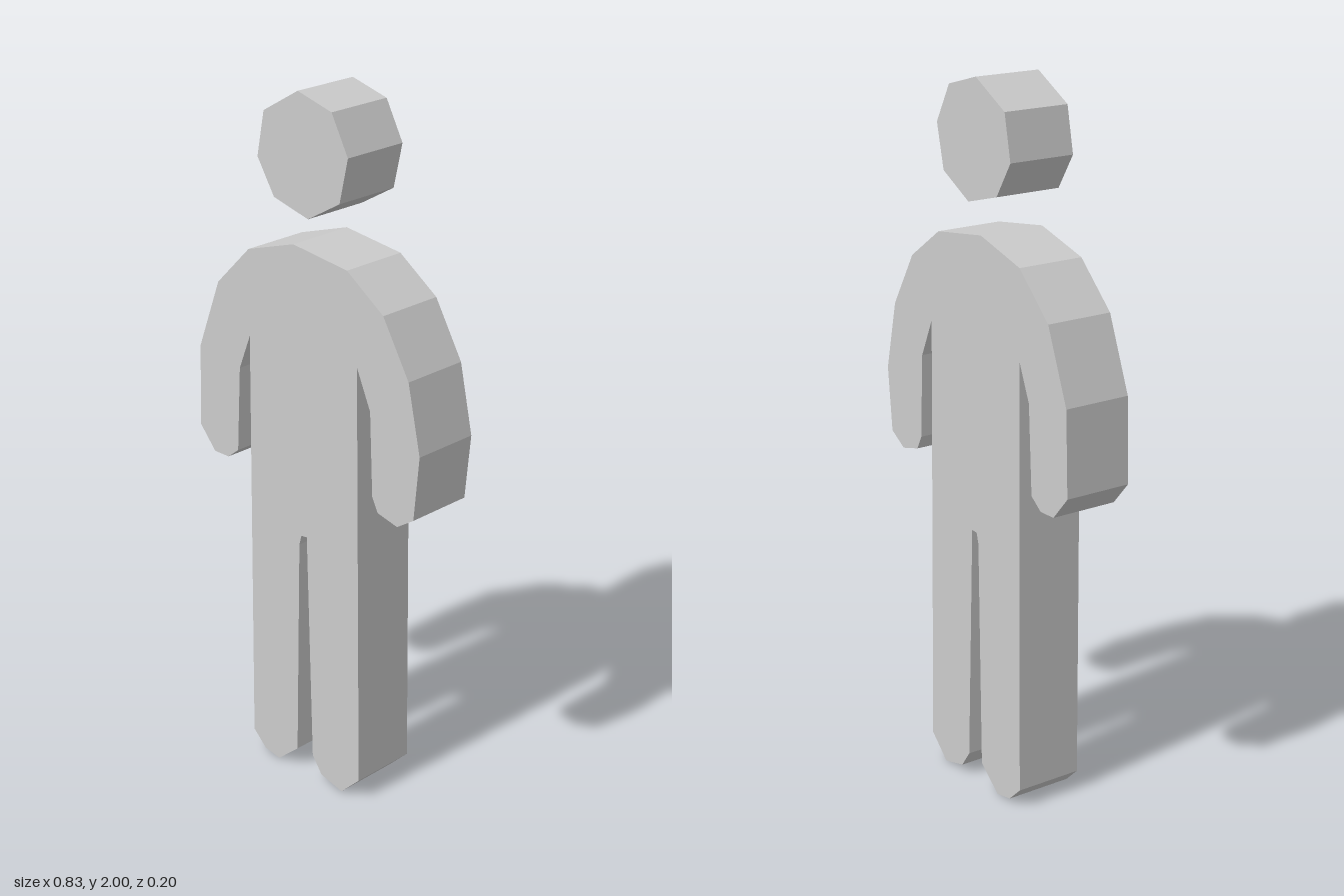
import * as THREE from 'three';

const DEPTH = 0.2;

// Flat outline in x,y pushed out evenly to both sides of z = 0
function slab(name, outline, material) {
  const shape = new THREE.Shape(outline.map(([x, y]) => new THREE.Vector2(x, y)));
  const geometry = new THREE.ExtrudeGeometry(shape, { depth: DEPTH, bevelEnabled: false });
  geometry.translate(0, 0, -DEPTH / 2);
  const mesh = new THREE.Mesh(geometry, material);
  mesh.name = name;
  return mesh;
}

export function createModel() {
  const material = new THREE.MeshStandardMaterial({ color: 0xcccccc, flatShading: true });
  const group = new THREE.Group();
  group.name = 'standingFigure';

  // Eight-sided head, slightly irregular, floating above the shoulders
  const head = [
    [-0.02, 2], [0.1, 1.967], [0.157, 1.86], [0.128, 1.735],
    [0.015, 1.67], [-0.11, 1.703], [-0.17, 1.8], [-0.145, 1.927],
  ];

  // Body outline, clockwise from the neck
  const shoulderLeft = [[-0.04, 1.59], [0.155, 1.565], [0.283, 1.475], [0.373, 1.32]];
  const armLeft = [
    [0.415, 1.125], [0.397, 0.94], [0.34, 0.903], [0.27, 0.92],
    [0.25, 0.96], [0.24, 1.2], [0.192, 1.31],
  ];
  const legLeft = [[0.207, 0.065], [0.14, 0], [0.06, 0.02], [0.025, 0.07], [0.005, 0.757]];
  const legRight = [
    [-0.016, 0.755], [-0.024, 0.725], [-0.037, 0.065], [-0.113, 0],
    [-0.17, 0.01], [-0.217, 0.055], [-0.21, 1.29],
  ];
  const armRight = [
    [-0.252, 1.185], [-0.265, 0.935], [-0.305, 0.903], [-0.36, 0.903],
    [-0.418, 0.97], [-0.41, 1.21],
  ];
  const shoulderRight = [[-0.332, 1.415], [-0.21, 1.537]];

  group.add(
    slab('head', head, material),
    slab('body', [...shoulderLeft, ...armLeft, ...legLeft, ...legRight, ...armRight, ...shoulderRight], material),
  );
  return group;
}
